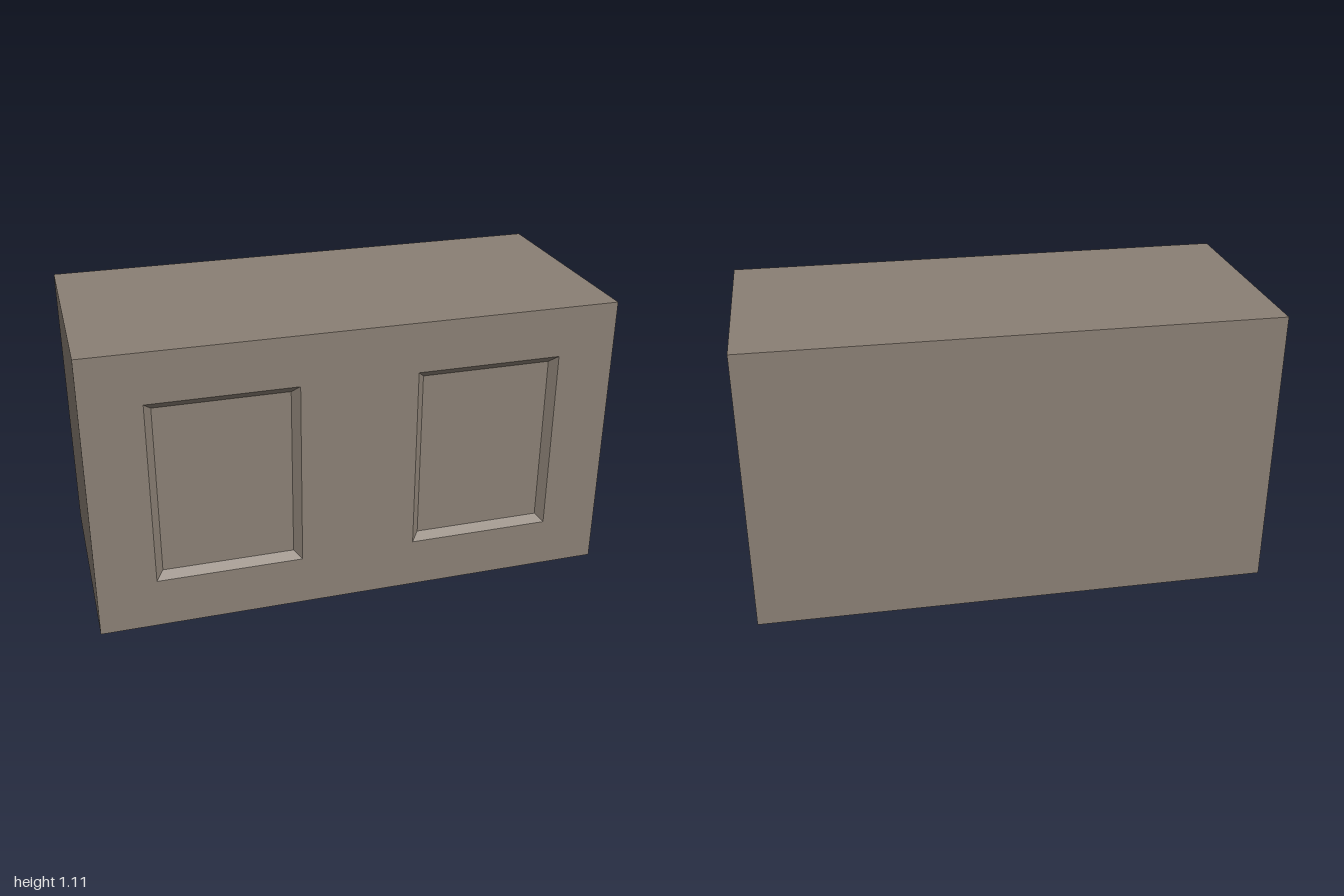
import * as THREE from 'three';

const W = 2, H = 1.111, D = 0.889; // overall block size
const RECESS = 0.028; // depth and bevel width of the sunken panels
const PANEL = { w: 0.556, h: 0.722, x: 0.5, y: 0.556 };

// Counter-clockwise rectangle corners, seen from the front
function corners(cx, cy, w, h) {
  return [[-1, -1], [1, -1], [1, 1], [-1, 1]].map(
    ([sx, sy]) => new THREE.Vector2(cx + sx * w / 2, cy + sy * h / 2));
}

// Four sloped walls and the flat floor of one sunken panel
function recessGeometry(cx, cy, w, h) {
  const outer = corners(cx, cy, w, h).map(p => [p.x, p.y, D / 2]);
  const inner = corners(cx, cy, w - 2 * RECESS, h - 2 * RECESS).map(p => [p.x, p.y, D / 2 - RECESS]);
  const pos = [];
  const quad = (a, b, c, d) => pos.push(...a, ...b, ...c, ...a, ...c, ...d);
  for (let i = 0; i < 4; i++) {
    const j = (i + 1) % 4;
    quad(outer[i], outer[j], inner[j], inner[i]);
  }
  quad(...inner);
  const geo = new THREE.BufferGeometry();
  geo.setAttribute('position', new THREE.Float32BufferAttribute(pos, 3));
  geo.computeVertexNormals();
  return geo;
}

export function createModel() {
  const group = new THREE.Group();
  group.name = 'panelledBlock';
  const material = new THREE.MeshStandardMaterial({ color: 0x8a7f74 });
  const add = (name, geo) => {
    const mesh = new THREE.Mesh(geo, material);
    mesh.name = name;
    group.add(mesh);
    return mesh;
  };

  // Block body: a box without its front side
  const box = new THREE.BoxGeometry(W, H, D);
  const front = box.groups[4];
  box.setIndex(Array.from(box.index.array).filter((_, i) => i < front.start || i >= front.start + front.count));
  box.clearGroups();
  add('body', box).position.y = H / 2;

  // Front face with an opening for each panel
  const face = new THREE.Shape(corners(0, H / 2, W, H));
  for (const side of [-1, 1]) {
    face.holes.push(new THREE.Path(corners(side * PANEL.x, PANEL.y, PANEL.w, PANEL.h).reverse()));
    add(side < 0 ? 'rightPanel' : 'leftPanel', recessGeometry(side * PANEL.x, PANEL.y, PANEL.w, PANEL.h));
  }
  add('frontFace', new THREE.ShapeGeometry(face)).position.z = D / 2;

  return group;
}
